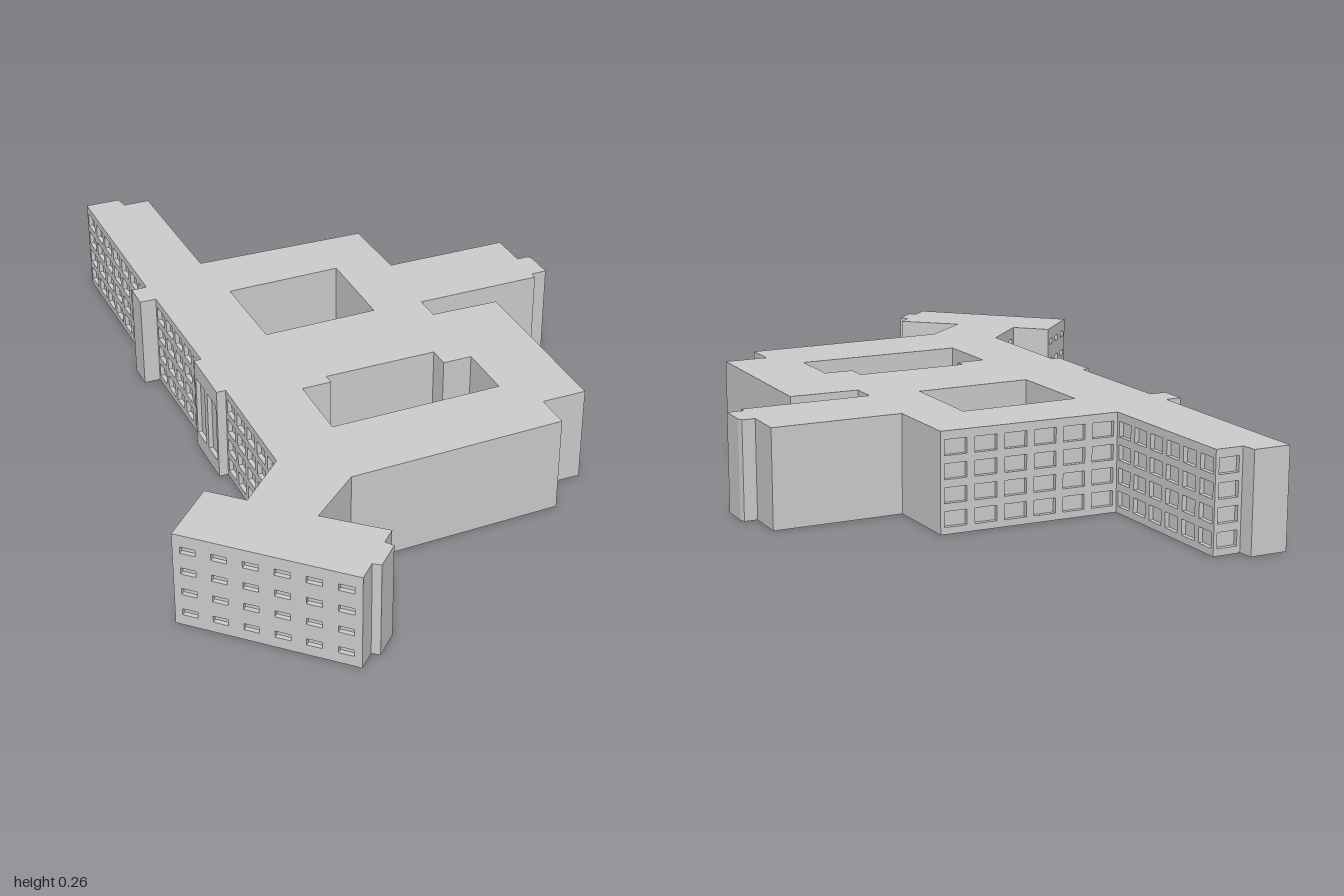
import * as THREE from 'three';
import { mergeGeometries } from 'three/addons/utils/BufferGeometryUtils.js';

const H = 0.262, DEPTH = 0.012;
const material = new THREE.MeshStandardMaterial({ color: 0xcccccc, side: THREE.DoubleSide, flatShading: true });

// Window styles: columns, rows, share of the bay width, pane height
const grid = (cols) => ({ cols, rows: 4, share: 0.74, h: 0.04 });
const slots = (cols) => ({ cols, rows: 4, share: 0.5, h: 0.018 });
const entrance = { cols: 2, rows: 1, share: 0.75, h: 0.17 };

// Outline corners (x, z); a third entry gives the windows of the wall that starts there
const outline = [
  [-0.38, -1], [-0.28, -1], [-0.275, -0.96, grid(1)], [-0.2, -0.96, grid(6)],
  [-0.19, -0.525, grid(6)], [0.3, -0.515], [0.305, -0.3], [0.655, -0.3],
  [0.655, -0.19], [0.69, -0.19], [0.695, -0.175], [0.695, -0.095], [0.65, -0.095],
  [0.65, -0.075], [0.295, -0.075], [0.295, 0], [0.485, 0.005],
  [0.482, 0.51], [0.36, 0.51], [0.36, 0.61], [-0.225, 0.625],
  [-0.36, 0.74], [-0.225, 0.86], [-0.26, 0.895], [-0.245, 0.915],
  [-0.302, 0.972], [-0.32, 0.958], [-0.36, 0.998, slots(6)], [-0.7, 0.67, slots(3)],
  [-0.57, 0.538], [-0.49, 0.615, slots(3)], [-0.365, 0.49, grid(5)], [-0.365, 0.14],
  [-0.39, 0.14, entrance], [-0.39, -0.03], [-0.37, -0.03, grid(5)],
  [-0.375, -0.38], [-0.42, -0.38], [-0.42, -0.455], [-0.377, -0.455, grid(7)],
];
const northCourt = [[-0.165, -0.08], [0.155, -0.085], [0.155, -0.345], [-0.17, -0.34]];
const southCourt = [
  [-0.18, 0.405], [0.29, 0.4], [0.29, 0.24], [0.21, 0.24],
  [0.21, 0.18], [-0.1, 0.18], [-0.1, 0.21], [-0.18, 0.21],
];

const planPoints = (pts) => pts.map(([x, z]) => new THREE.Vector2(x, -z));

// Shallow open box behind a window hole
function recess(w, h, x, y) {
  const g = new THREE.BoxGeometry(w, h, DEPTH);
  const idx = Array.from(g.index.array);
  idx.splice(24, 6); // drop the outward side
  g.setIndex(idx);
  g.clearGroups();
  return g.translate(x, y, -DEPTH / 2);
}

// One flat wall from a to b, with optional recessed windows
function wall(a, b, style) {
  const dx = b[0] - a[0], dz = b[1] - a[1], len = Math.hypot(dx, dz);
  const face = new THREE.Shape([[0, 0], [len, 0], [len, H], [0, H]].map((p) => new THREE.Vector2(...p)));
  const parts = [];
  if (style) {
    const bay = len / style.cols, w = bay * style.share, h = style.h, storey = (H - 0.02) / style.rows;
    for (let c = 0; c < style.cols; c++) {
      for (let r = 0; r < style.rows; r++) {
        const x = (c + 0.5) * bay, y = 0.008 + (r + 0.5) * storey;
        face.holes.push(new THREE.Path([[-1, -1], [-1, 1], [1, 1], [1, -1]].map(
          ([s, t]) => new THREE.Vector2(x + s * w / 2, y + t * h / 2))));
        parts.push(recess(w, h, x, y));
      }
    }
  }
  const flat = new THREE.ShapeGeometry(face);
  flat.clearGroups();
  parts.unshift(flat);
  const g = mergeGeometries(parts);
  g.rotateY(Math.atan2(dz, -dx));
  return g.translate(b[0], 0, b[1]);
}

function wallRing(name, pts) {
  const walls = pts.map((p, i) => wall(p, pts[(i + 1) % pts.length], p[2]));
  const mesh = new THREE.Mesh(mergeGeometries(walls), material);
  mesh.name = name;
  return mesh;
}

export function createModel() {
  const model = new THREE.Group();
  model.name = 'building';

  // Flat roof with two courtyard openings; the underside of the building is open
  const plan = new THREE.Shape(planPoints(outline));
  for (const court of [northCourt, southCourt]) plan.holes.push(new THREE.Path(planPoints(court)));
  const roof = new THREE.Mesh(new THREE.ShapeGeometry(plan).rotateX(-Math.PI / 2).translate(0, H, 0), material);
  roof.name = 'roof';

  model.add(
    roof,
    wallRing('outerWalls', outline),
    wallRing('northCourtyardWalls', northCourt),
    wallRing('southCourtyardWalls', southCourt),
  );
  return model;
}
